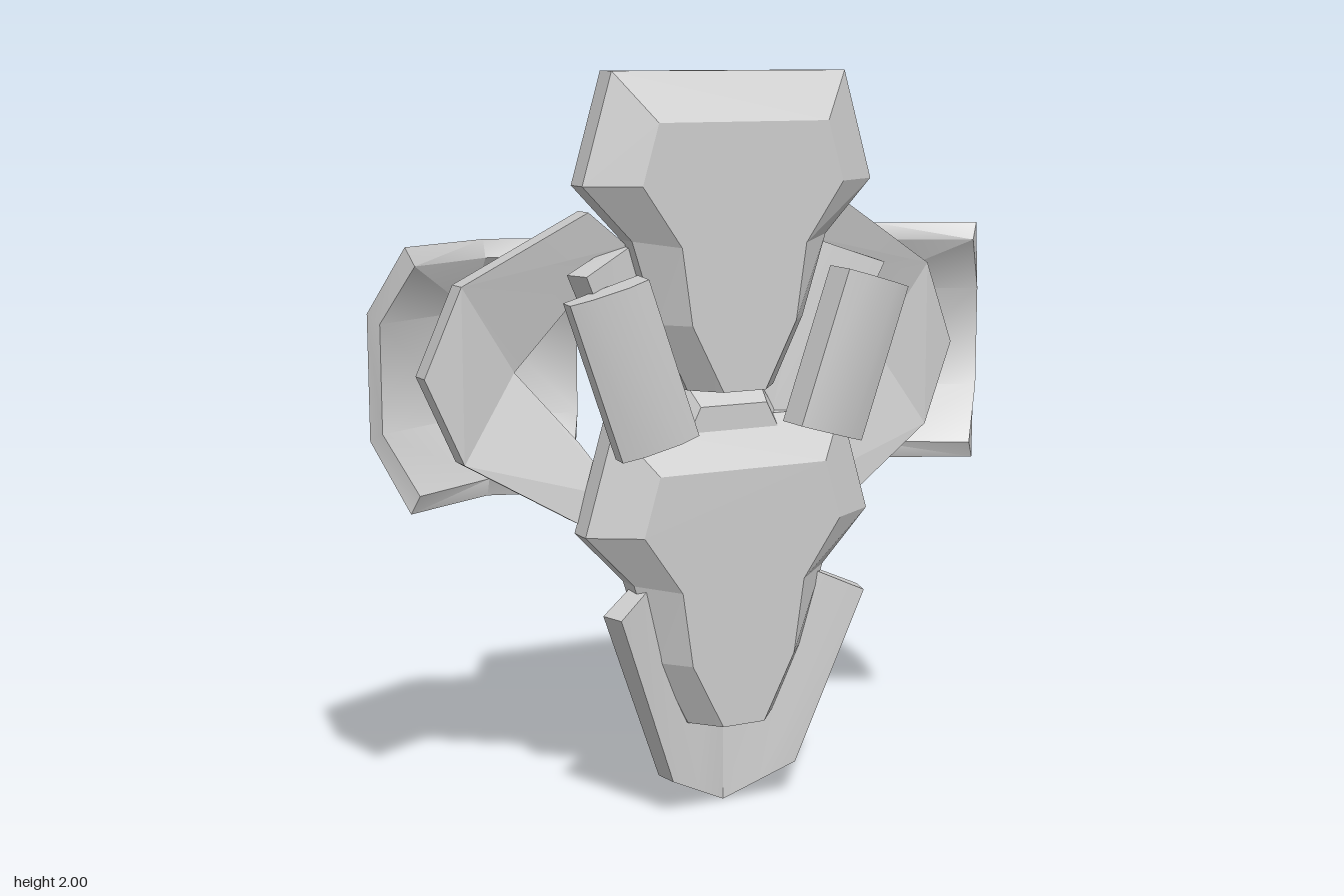
import * as THREE from 'three';
import { toCreasedNormals } from 'three/addons/utils/BufferGeometryUtils.js';

const material = new THREE.MeshStandardMaterial({ color: 0xcccccc });

function build(points, index, crease) {
  const g = new THREE.BufferGeometry();
  g.setAttribute('position', new THREE.Float32BufferAttribute(points.flat(), 3));
  g.setIndex(index);
  return toCreasedNormals(g, crease);
}

// Solid through counter-clockwise outlines, ordered from front to back
function loft(loops, crease = 0.05) {
  const n = loops[0].length, last = (loops.length - 1) * n, index = [];
  for (let k = 0; k + 1 < loops.length; k++) {
    for (let i = 0; i < n; i++) {
      const a = k * n + i, b = k * n + (i + 1) % n;
      index.push(a, a + n, b + n, a, b + n, b);
    }
  }
  const cap = (loop) => THREE.ShapeUtils.triangulateShape(loop.map((p) => new THREE.Vector2(p[0], p[1])), []);
  cap(loops[0]).forEach(([a, b, c]) => index.push(a, b, c));
  cap(loops[loops.length - 1]).forEach(([a, b, c]) => index.push(last + a, last + c, last + b));
  return build(loops.flat(), index, crease);
}

// Plate between two point grids; rows run bottom to top, columns along +x
function plate(front, back, crease) {
  const rows = front.length, cols = front[0].length, n = rows * cols, index = [];
  for (let r = 0; r + 1 < rows; r++) {
    for (let c = 0; c + 1 < cols; c++) {
      const a = r * cols + c, b = a + 1, d = a + cols, e = d + 1;
      index.push(a, b, e, a, e, d, n + a, n + e, n + b, n + a, n + d, n + e);
    }
  }
  const rim = [];
  for (let c = 0; c < cols - 1; c++) rim.push(c);
  for (let r = 0; r < rows - 1; r++) rim.push(r * cols + cols - 1);
  for (let c = cols - 1; c > 0; c--) rim.push((rows - 1) * cols + c);
  for (let r = rows - 1; r > 0; r--) rim.push(r * cols);
  rim.forEach((a, i) => {
    const b = rim[(i + 1) % rim.length];
    index.push(a, n + a, n + b, a, n + b, b);
  });
  return build([...front.flat(), ...back.flat()], index, crease);
}

// Right half listed bottom to top, completed by its mirror image
const symmetric = (half, z) => [
  ...half.map(([x, y]) => [x, y, z]),
  ...half.slice().reverse().map(([x, y]) => [-x, y, z]),
];

function mirrored(geometry) {
  const g = geometry.clone().scale(-1, 1, 1);
  for (const name of ['position', 'normal']) {
    const a = g.attributes[name];
    for (let i = 0; i < a.count; i += 3) {
      const p = [a.getX(i + 1), a.getY(i + 1), a.getZ(i + 1)];
      a.setXYZ(i + 1, a.getX(i + 2), a.getY(i + 2), a.getZ(i + 2));
      a.setXYZ(i + 2, ...p);
    }
  }
  return g;
}

export function createModel() {
  const model = new THREE.Group();
  const add = (name, geometry) => {
    const mesh = new THREE.Mesh(geometry, material);
    mesh.name = name;
    model.add(mesh);
  };
  const addPair = (name, geometry) => {
    add('left' + name, geometry);
    add('right' + name, mirrored(geometry));
  };

  // Two identical bevelled hull blocks, one above the other
  const face = [[0.063, 0.25], [0.155, 0.43], [0.185, 0.635], [0.297, 0.795], [0.25, 0.955]];
  const girth = [[0.13, 0.25], [0.22, 0.43], [0.29, 0.65], [0.43, 0.795], [0.345, 1.085]];
  const hull = loft([symmetric(face, 0.21), symmetric(girth, 0.13), symmetric(girth, 0.06), symmetric(face, -0.02)]);
  add('lowerHull', hull);
  add('upperHull', hull.clone().translate(0, 0.915, 0));

  // Neck joining the hulls
  add('neck', loft([
    symmetric([[0.14, 1.0], [0.14, 1.04], [0.1, 1.12]], 0.15),
    symmetric([[0.16, 1.0], [0.16, 1.08], [0.11, 1.17]], 0.09),
    symmetric([[0.16, 1.0], [0.16, 1.08], [0.11, 1.17]], 0.0),
  ]));

  // V-shaped guards behind the hulls
  const guardRow = (half) => [
    ...half.map(([x, y, z]) => [-x, y, z]),
    ...half.slice(0, -1).reverse(),
  ];
  const guardRows = [
    [[0.2, 0.1, 0.16], [0.1, 0.05, 0.125], [0, 0, 0.09]],
    [[0.39, 0.585, 0.22], [0.24, 0.65, 0.125], [0, 0.65, 0.09]],
  ].map(guardRow);
  const guard = plate(
    guardRows.map((row) => row.map(([x, y, z]) => [x * 0.95, y, z])),
    guardRows.map((row) => row.map(([x, y, z]) => [x, y, z - 0.07])), 0.4);
  add('lowerGuard', guard);
  add('upperGuard', guard.clone().scale(1.2, 1, 1).translate(0, 0.9, -0.035));

  // Domed outer fenders, swept back to a ridge
  const fenderBack = [
    [[0.38, 0.88, -0.055], [0.6, 0.88, -0.125], [0.865, 0.88, 0.01]],
    [[0.32, 1.06, -0.175], [0.6, 1.06, -0.26], [0.935, 1.06, -0.09]],
    [[0.32, 1.39, -0.175], [0.6, 1.39, -0.26], [0.935, 1.39, -0.09]],
    [[0.38, 1.565, -0.055], [0.6, 1.565, -0.125], [0.865, 1.565, 0.01]],
  ];
  const fenderFront = fenderBack.map((row, r) => row.map(([x, y, z], c) => [
    x + [0.01, 0, -0.02][c],
    1.2225 + (y - 1.2225) * 0.86,
    z + (r % 3 === 0 ? 0.015 : 0.04),
  ]));
  addPair('Fender', plate(fenderFront, fenderBack, 0.85));

  // C-shaped arms carrying the fenders
  const arm = [
    [0.3, 0.88, 0.08], [0.42, 0.82, 0.065], [0.71, 0.99, -0.005], [0.808, 1.22, -0.025],
    [0.71, 1.455, -0.005], [0.39, 1.64, 0.08], [0.28, 1.55, 0.08],
    [0.4, 1.42, 0.03], [0.555, 1.22, -0.035], [0.4, 1.03, 0.03],
  ];
  addPair('Arm', loft([arm, arm.map(([x, y, z]) => [x, y, z - 0.065])]));

  // Slanted pods on the front: cross-section swept from base to tip
  const section = [[-0.11, 0.16], [0.11, 0.16], [0.115, 0.215], [0.06, 0.24], [-0.04, 0.255], [-0.1, 0.245]];
  const podEnd = (cx, cy) => section.map(([u, z]) => [cx + u * 0.96, cy - u * 0.28, z]);
  const low = podEnd(0.25, 1.035), high = podEnd(0.394, 1.45);
  const podPoints = [...low, ...high], podIndex = [];
  section.forEach((_, i) => {
    const j = (i + 1) % 6;
    podIndex.push(i, i + 6, j, j, i + 6, j + 6);
    if (i > 0 && i < 5) podIndex.push(0, i, i + 1, 6, i + 7, i + 6);
  });
  addPair('Pod', build(podPoints, podIndex, 0.6));

  // Rear turret with bevelled sides
  const turret = [[0.08, 0.52], [0.19, 0.65], [0.2, 0.82], [0.13, 0.92]];
  const top = [[0.05, 0.655], [0.11, 0.69], [0.12, 0.81], [0.08, 0.86]];
  add('turret', loft([symmetric(turret, 0), symmetric(turret, -0.06), symmetric(top, -0.135)]));

  // Hatch knob and aerials on the turret
  const rod = (r1, r2, length, sides, x, y, z) => new THREE.CylinderGeometry(r1, r2, length, sides)
    .rotateX(-Math.PI / 2).translate(x, y, z);
  add('hatch', rod(0.036, 0.05, 0.05, 16, 0.03, 0.81, -0.15));
  add('aerial', rod(0.004, 0.004, 0.12, 6, -0.06, 0.835, -0.175));
  add('shortAerial', rod(0.006, 0.006, 0.05, 6, -0.06, 0.76, -0.147));
  return model;
}
